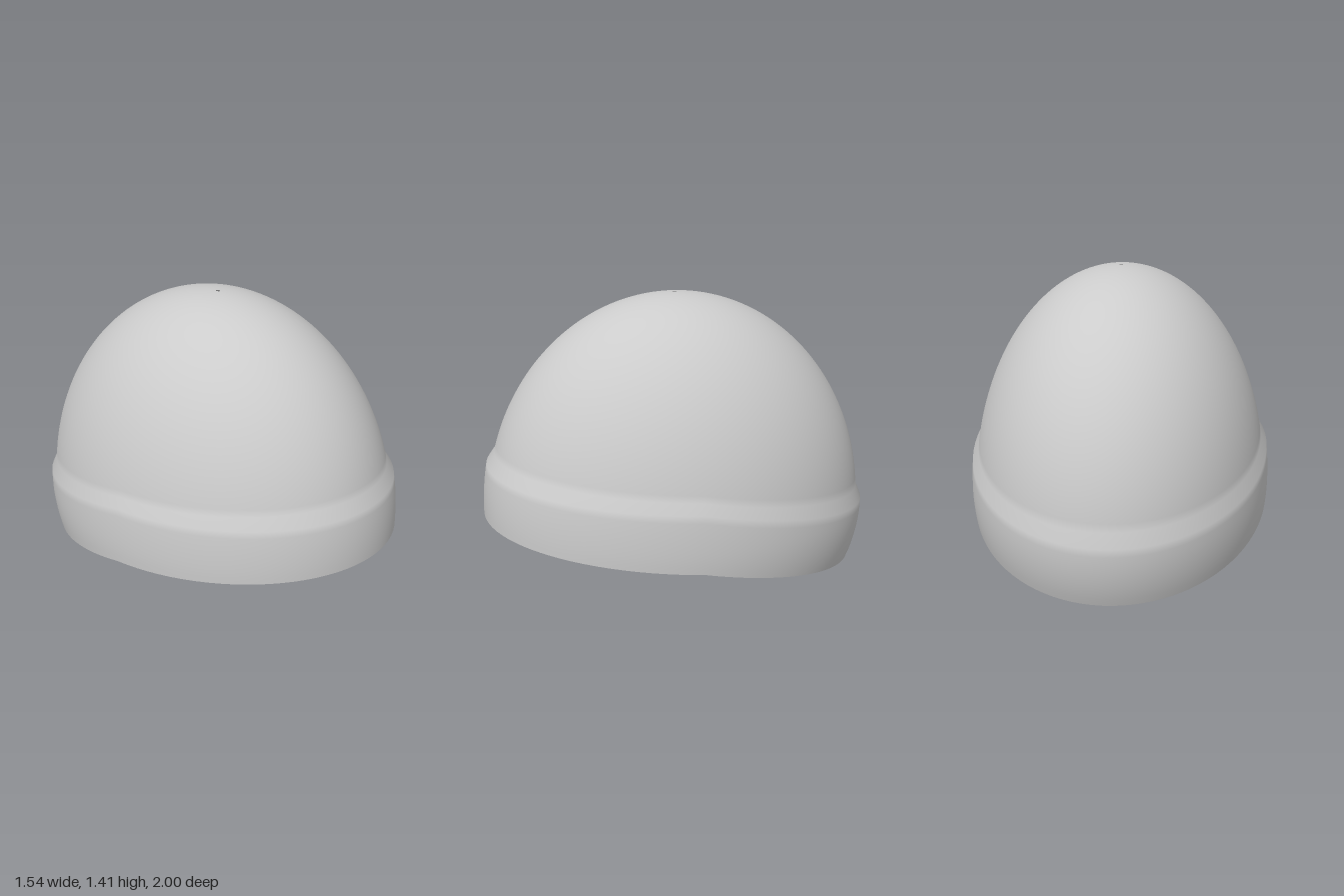
import * as THREE from 'three';

const SEGMENTS = 96, BAND_ROWS = 8, DOME_ROWS = 40;

// Height that slopes differently toward the front and the back (f = 1 front, -1 back)
const tilt = (side, front, back) => (f) => side + (f > 0 ? front : back) * f;
const hemY = tilt(0.21, 0.085, 0.21);
const bandTopY = tilt(0.505, 0.055, 0.195);
const creaseY = tilt(0.555, 0.065, 0.175);

// Relative width of an ellipse at a given height above its centre
const widthAt = (y, centre, height) => Math.sqrt(Math.max(0, 1 - ((y - centre) / height) ** 2));

// Cross-section from hem to crown at one direction: [x radius, z radius, y]
function section(f) {
  const rows = [];
  // turned-up band
  const hem = hemY(f), top = bandTopY(f), crease = creaseY(f);
  for (let i = 0; i <= BAND_ROWS; i++) {
    const y = THREE.MathUtils.lerp(hem, top, i / BAND_ROWS);
    const w = widthAt(y, 0.31, y < 0.31 ? 0.88 : 1.13);
    rows.push([0.77 * w, w, y]);
  }
  // domed crown, ending in a tiny opening
  const start = Math.asin((crease - 0.3) / 1.11);
  for (let i = 0; i <= DOME_ROWS; i++) {
    const a = THREE.MathUtils.lerp(start, Math.PI / 2 - 0.012, i / DOME_ROWS);
    rows.push([0.747 * Math.cos(a), 0.975 * Math.cos(a), 0.3 + 1.11 * Math.sin(a)]);
  }
  return rows;
}

export function createModel() {
  const positions = [], index = [];
  let rowCount = 0;
  for (let j = 0; j < SEGMENTS; j++) {
    const t = (j / SEGMENTS) * Math.PI * 2;
    const rows = section(Math.cos(t));
    rowCount = rows.length;
    for (const [rx, rz, y] of rows) positions.push(rx * Math.sin(t), y, rz * Math.cos(t));
  }
  for (let j = 0; j < SEGMENTS; j++) {
    const here = j * rowCount, next = ((j + 1) % SEGMENTS) * rowCount;
    for (let i = 0; i < rowCount - 1; i++) {
      index.push(here + i, next + i, next + i + 1, here + i, next + i + 1, here + i + 1);
    }
  }
  const geometry = new THREE.BufferGeometry();
  geometry.setAttribute('position', new THREE.Float32BufferAttribute(positions, 3));
  geometry.setIndex(index);
  geometry.computeVertexNormals();

  const cap = new THREE.Mesh(
    geometry,
    new THREE.MeshStandardMaterial({ color: 0xcccccc, side: THREE.DoubleSide })
  );
  cap.name = 'knitCapShell';
  const group = new THREE.Group();
  group.name = 'knitCap';
  group.add(cap);
  return group;
}
